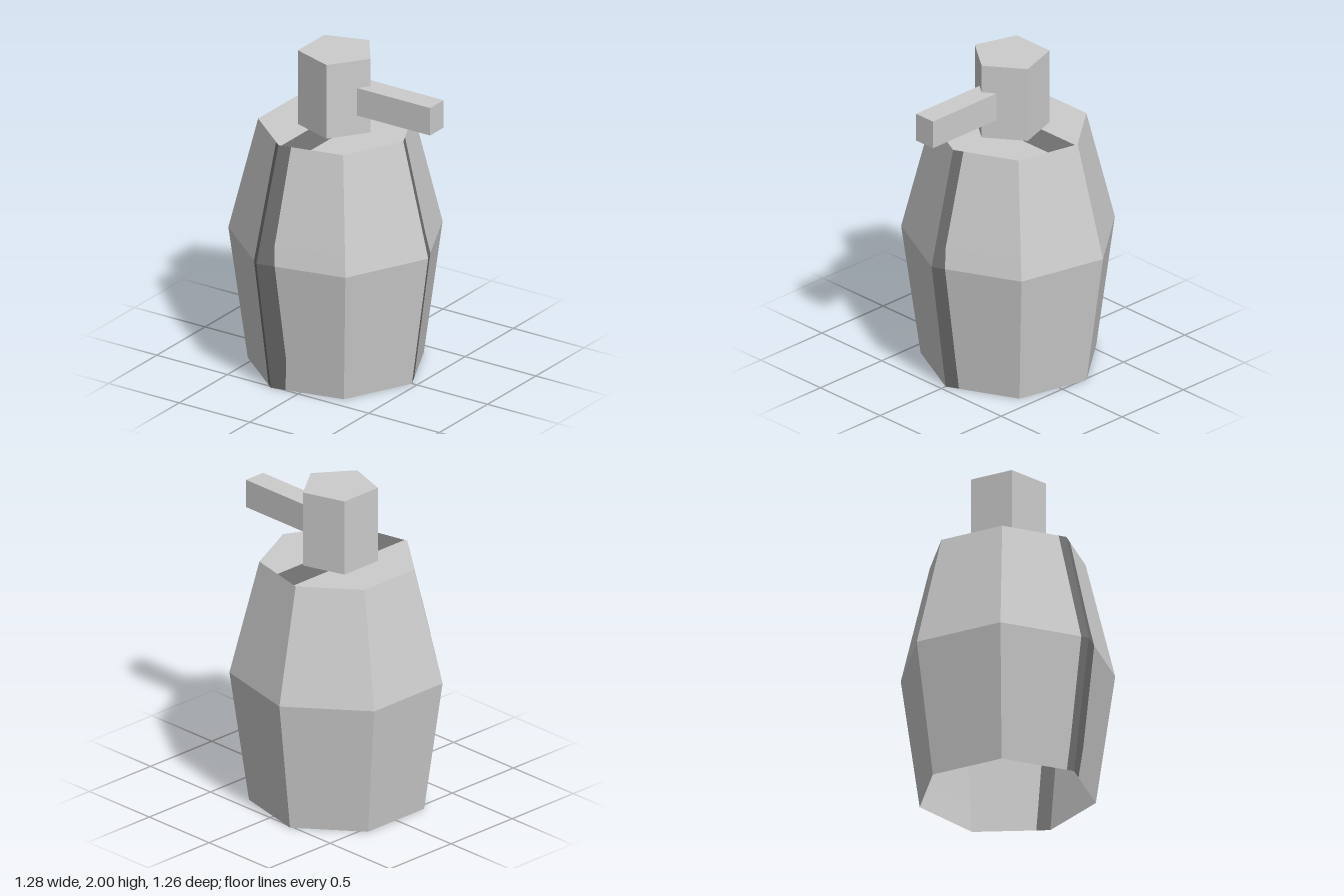
import * as THREE from 'three';

const CX = -0.064;
const ROWS = [0, 0.2, 0.825, 0.95, 1.53];
const RADII = [0.529, 0.557, 0.644, 0.613, 0.468];

// Corner k of the seven-sided body on a given row
function corner(k, row) {
  const a = (k / 7) * Math.PI * 2;
  return new THREE.Vector3(CX + RADII[row] * Math.cos(a), ROWS[row], RADII[row] * Math.sin(a));
}

// Vertical panel on one side of the body, between fractions from[row] and to[row]
function panel(side, from, to) {
  const positions = [];
  const at = (row, t) => corner(side, row).lerp(corner(side + 1, row), t);
  for (let r = 0; r < ROWS.length - 1; r++) {
    const a = at(r, from[r]), b = at(r, to[r]);
    const c = at(r + 1, from[r + 1]), d = at(r + 1, to[r + 1]);
    for (const p of [b, a, c, b, c, d]) positions.push(p.x, p.y, p.z);
  }
  const geometry = new THREE.BufferGeometry();
  geometry.setAttribute('position', new THREE.Float32BufferAttribute(positions, 3));
  geometry.computeVertexNormals();
  return geometry;
}

// Flat horizontal piece of the top, from [x, z] outline points
function topPiece(points) {
  const shape = new THREE.Shape(points.map(([x, z]) => new THREE.Vector2(x, -z)));
  return new THREE.ShapeGeometry(shape).rotateX(-Math.PI / 2).translate(0, ROWS[4], 0);
}

export function createModel() {
  const model = new THREE.Group();
  const light = new THREE.MeshStandardMaterial({ color: 0xcccccc, flatShading: true, side: THREE.DoubleSide });
  light.name = 'light grey';
  const dark = new THREE.MeshStandardMaterial({ color: 0x707070, flatShading: true, side: THREE.DoubleSide });
  dark.name = 'dark grey';

  const add = (name, geometry, material, parent = model) => {
    const mesh = new THREE.Mesh(geometry, material);
    mesh.name = name;
    parent.add(mesh);
    return mesh;
  };

  // Body: seven open-bottomed sides, three of them split by a dark stripe
  const body = new THREE.Group();
  body.name = 'body';
  model.add(body);
  const zero = ROWS.map(() => 0), one = ROWS.map(() => 1);
  const splits = {
    1: { at: [0.8, 0.755, 0.795, 0.83, 0.805], darkFirst: false },
    2: { at: [0.1, 0.09, 0.085, 0.09, 0.12], darkFirst: true },
    6: { at: [0.82, 0.83, 0.851, 0.88, 0.842], darkFirst: false },
  };
  for (let side = 0; side < 7; side++) {
    const split = splits[side];
    if (!split) {
      add('bodySide', panel(side, zero, one), light, body);
      continue;
    }
    const { at, darkFirst } = split;
    add(darkFirst ? 'bodyStripe' : 'bodySide', panel(side, zero, at), darkFirst ? dark : light, body);
    add(darkFirst ? 'bodySide' : 'bodyStripe', panel(side, at, one), darkFirst ? light : dark, body);
  }

  // Top of the body, with a dark band running front to back
  const [p0, p1, p2, p3] = [0, 1, 2, 3].map((k) => corner(k, 4));
  const edgeZ = (x) => THREE.MathUtils.mapLinear(x, p2.x, p1.x, p2.z, p1.z);
  const xa = -0.15, xb = 0.03, za = edgeZ(xa), zb = edgeZ(xb);
  add('topStripe', topPiece([[xa, za], [xb, zb], [xb, -zb], [xa, -za]]), dark, body);
  add('topRight', topPiece([[p3.x, p3.z], [p2.x, p2.z], [xa, za], [xa, -za], [p2.x, -p2.z], [p3.x, -p3.z]]), light, body);
  add('topLeft', topPiece([[xb, zb], [p1.x, p1.z], [p0.x, 0], [p1.x, -p1.z], [xb, -zb]]), light, body);

  // Five-sided pump head with a corner towards the spout
  const head = new THREE.CylinderGeometry(0.233, 0.233, 0.47, 5, 1, false, Math.PI / 2);
  add('pumpHead', head, light).position.set(-0.061, 1.765, 0);

  // Straight square spout
  add('spout', new THREE.BoxGeometry(0.64, 0.175, 0.14), light).position.set(0.32, 1.738, -0.002);

  return model;
}
